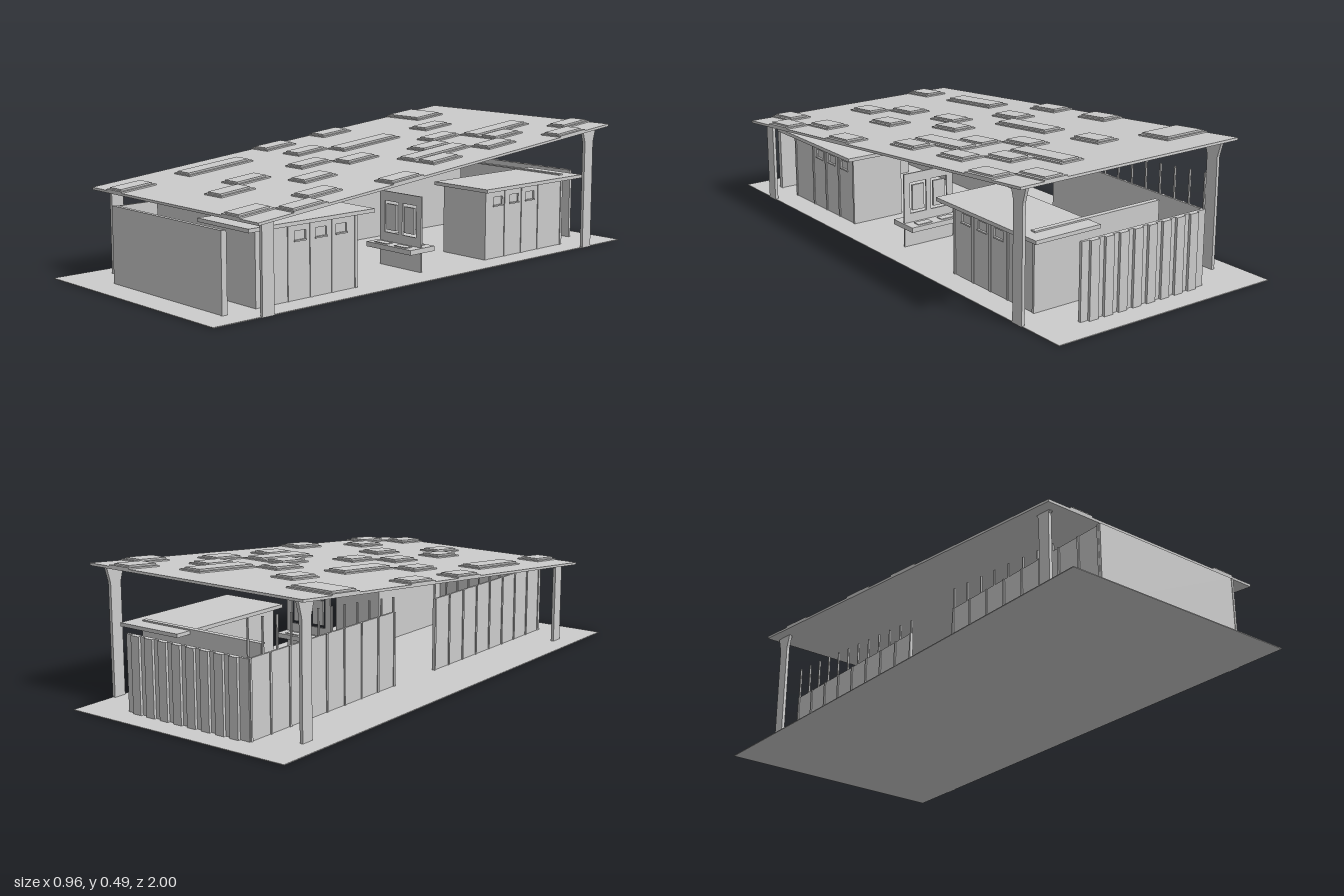
import * as THREE from 'three';

const paint = new THREE.MeshStandardMaterial({ color: 0xcccccc, side: THREE.DoubleSide });
paint.name = 'pale grey';

// box given by its limits on each axis
function box(parent, name, x0, x1, y0, y1, z0, z1) {
  const g = new THREE.BoxGeometry(Math.abs(x1 - x0), Math.abs(y1 - y0), Math.abs(z1 - z0));
  const m = new THREE.Mesh(g, paint);
  m.name = name;
  m.position.set((x0 + x1) / 2, (y0 + y1) / 2, (z0 + z1) / 2);
  parent.add(m);
  return m;
}

// upright plate with rectangular holes, drawn in x and y
function plate(name, w, h, depth, holes) {
  const s = new THREE.Shape([[0, 0], [w, 0], [w, h], [0, h]].map(p => new THREE.Vector2(...p)));
  for (const [a, b, c, d] of holes)
    s.holes.push(new THREE.Path([[a, c], [a, d], [b, d], [b, c]].map(p => new THREE.Vector2(...p))));
  const m = new THREE.Mesh(new THREE.ExtrudeGeometry(s, { depth, bevelEnabled: false }), paint);
  m.name = name;
  return m;
}

const X0 = -0.445, X1 = 0.478, Z0 = -0.86, Z1 = 0.855;
const roofY = z => 0.392 - 0.0962 * z;

function buildRoof() {
  const roof = new THREE.Group();
  roof.name = 'roof';
  const slope = Math.atan(0.0962), stretch = 1 / Math.cos(slope);
  roof.position.y = 0.392;
  roof.rotation.x = slope;
  box(roof, 'roofSlab', X0, X1, -0.007, 0.002, Z0 * stretch, Z1 * stretch);
  // raised panels: column, row from the back, columns wide, rows long
  const cells = [
    [0, 1, 2, 1], [0, 4, 1, 1], [0, 6, 1, 1], [1, 8, 1, 2], [1, 11, 1, 1], [2, 6, 1, 1],
    [3, 2, 1, 1], [3, 4, 1, 2], [4, 7, 1, 1], [4, 9, 1, 1], [5, 3, 1, 1], [5, 6, 1, 1],
    [5, 10, 1, 1], [6, 1, 1, 2], [6, 4, 1, 1], [6, 8, 1, 1], [7, 2, 1, 1], [7, 4, 1, 2],
    [8, 0, 1, 1], [8, 3, 1, 1], [8, 5, 1, 1], [8, 9, 1, 1], [8, 11, 1, 1],
    [9, 1, 1, 1], [9, 7, 1, 1], [9, 10, 1, 1],
  ];
  const cw = (X1 - X0) / 10, cl = (Z1 - Z0) / 12 * stretch;
  for (const [c, r, w, l] of cells) {
    const x = X0 + c * cw, z = Z0 * stretch + r * cl;
    box(roof, 'panelBase', x, x + w * cw, 0, 0.007, z, z + l * cl);
    box(roof, 'panelTop', x + 0.012, x + w * cw - 0.012, 0.006, 0.013, z + 0.012, z + l * cl - 0.006);
  }
  return roof;
}

// flat post with a flared head, its profile drawn in z and y
function buildPost(x, z) {
  const top = roofY(z) - 0.006, cap = z < 0 ? 0.055 : 0.012, flare = z < 0 ? 0.038 : 0.03;
  const pts = [[-0.024, 0], [0.024, 0], [0.024, top - cap], [flare, top - 0.006], [flare, top],
    [-flare, top], [-flare, top - 0.006], [-0.024, top - cap]];
  const g = new THREE.ExtrudeGeometry(new THREE.Shape(pts.map(p => new THREE.Vector2(...p))),
    { depth: 0.012, bevelEnabled: false });
  g.rotateY(-Math.PI / 2);
  const m = new THREE.Mesh(g, paint);
  m.name = 'post';
  m.position.set(x + 0.006, 0, z);
  return m;
}

// one of the two blocks; s is +1 at the front and -1 at the back
function buildBlock(s) {
  const b = new THREE.Group();
  b.name = s > 0 ? 'frontBlock' : 'backBlock';
  const end = s > 0 ? 0.885 : 0.9;

  // long screen wall with battens
  box(b, 'sideWall', -0.262, -0.254, 0, 0.272, s * 0.125, s * end);
  for (let i = 0; i <= 8; i++) {
    const z = s * (0.129 + i * (end - 0.133) / 8);
    box(b, 'sideBatten', -0.266, -0.262, 0, 0.272, z - 0.004, z + 0.004);
  }
  // pickets above the wall, rising with the roof
  const count = s > 0 ? 8 : 12, reach = s > 0 ? 0.53 : 0.77;
  for (let i = 0; i < count; i++) {
    const z = s * (0.13 + reach * i / (count - 1));
    const top = s > 0 ? 0.365 - 0.094 * z : 0.313 - 0.096 * z;
    box(b, 'picket', -0.261, -0.255, 0.27, top, z - 0.003, z + 0.003);
  }

  // room with a wide flat canopy
  box(b, 'roomEndWall', 0.13, 0.337, 0, 0.265, s * 0.32, s * 0.328);
  box(b, 'roomFarWall', 0.13, 0.337, 0, 0.265, s * 0.752, s * 0.76);
  box(b, 'roomInnerWall', 0.13, 0.138, 0, 0.265, s * 0.328, s * 0.752);
  box(b, 'canopy', 0.12, 0.385, 0.262, 0.275, s * 0.28, s * 0.82);
  box(b, 'partition', -0.19, 0.13, 0, 0.278, s * 0.752, s * 0.76);
  box(b, 'partitionRail', -0.19, 0.34, 0.275, 0.28, s * 0.74, s * 0.76);

  // outer room wall with three window openings
  const centres = [0.39, 0.48, 0.57];
  const wall = plate('windowWall', 0.44, 0.265, 0.008,
    centres.map(c => {
      const u = s > 0 ? 0.76 - c : c - 0.32;
      return [u - 0.024, u + 0.024, 0.2, 0.232];
    }));
  wall.rotation.y = Math.PI / 2;
  wall.position.set(0.331, 0, s > 0 ? 0.76 : -0.32);
  b.add(wall);
  for (const c of centres) {
    box(b, 'windowPane', 0.331, 0.333, 0.2, 0.232, s * (c - 0.024), s * (c + 0.024));
    box(b, 'windowSill', 0.335, 0.343, 0.197, 0.202, s * (c - 0.026), s * (c + 0.026));
  }
  for (const z of [0.325, 0.43, 0.525, 0.62, 0.755])
    box(b, 'roomBatten', 0.338, 0.342, 0, 0.265, s * z - 0.005, s * z + 0.005);
  return b;
}

export function createModel() {
  const model = new THREE.Group();
  model.name = 'shelter';

  box(model, 'groundSlab', -0.48, 0.435, 0, 0.003, -1, 1);
  model.add(buildRoof());
  for (const x of [-0.4, 0.431]) for (const z of [0.785, -0.795]) model.add(buildPost(x, z));
  model.add(buildBlock(1), buildBlock(-1));

  // front screen wall
  box(model, 'frontWall', -0.265, 0.335, 0, 0.274, 0.878, 0.893);
  box(model, 'frontWallEnd', 0.335, 0.343, 0, 0.274, 0.874, 0.895);

  // back screen wall with boards standing proud
  box(model, 'backWall', -0.262, 0.27, 0, 0.272, -0.904, -0.893);
  for (let i = 0; i < 8; i++) {
    const x = -0.205 + i * 0.061;
    box(model, 'backBoard', x - 0.018, x + 0.018, 0, 0.272, -0.914, -0.904);
  }

  // washing stand between the blocks
  const stand = new THREE.Group();
  stand.name = 'washStand';
  const frame = plate('mirrorFrame', 0.21, 0.275, 0.006,
    [[0.025, 0.095, 0.125, 0.24], [0.115, 0.185, 0.125, 0.24]]);
  frame.position.set(0.12, 0, -0.003);
  stand.add(frame);
  for (const x of [0.145, 0.235]) box(stand, 'mirror', x + 0.01, x + 0.06, 0.135, 0.23, -0.004, 0.004);
  box(stand, 'counter', 0.11, 0.335, 0.074, 0.092, -0.06, 0.06);
  for (const x of [0.17, 0.27]) for (const s of [1, -1])
    box(stand, 'basin', x - 0.03, x + 0.03, 0.092, 0.095, s * 0.018, s * 0.048);
  model.add(stand);

  return model;
}
